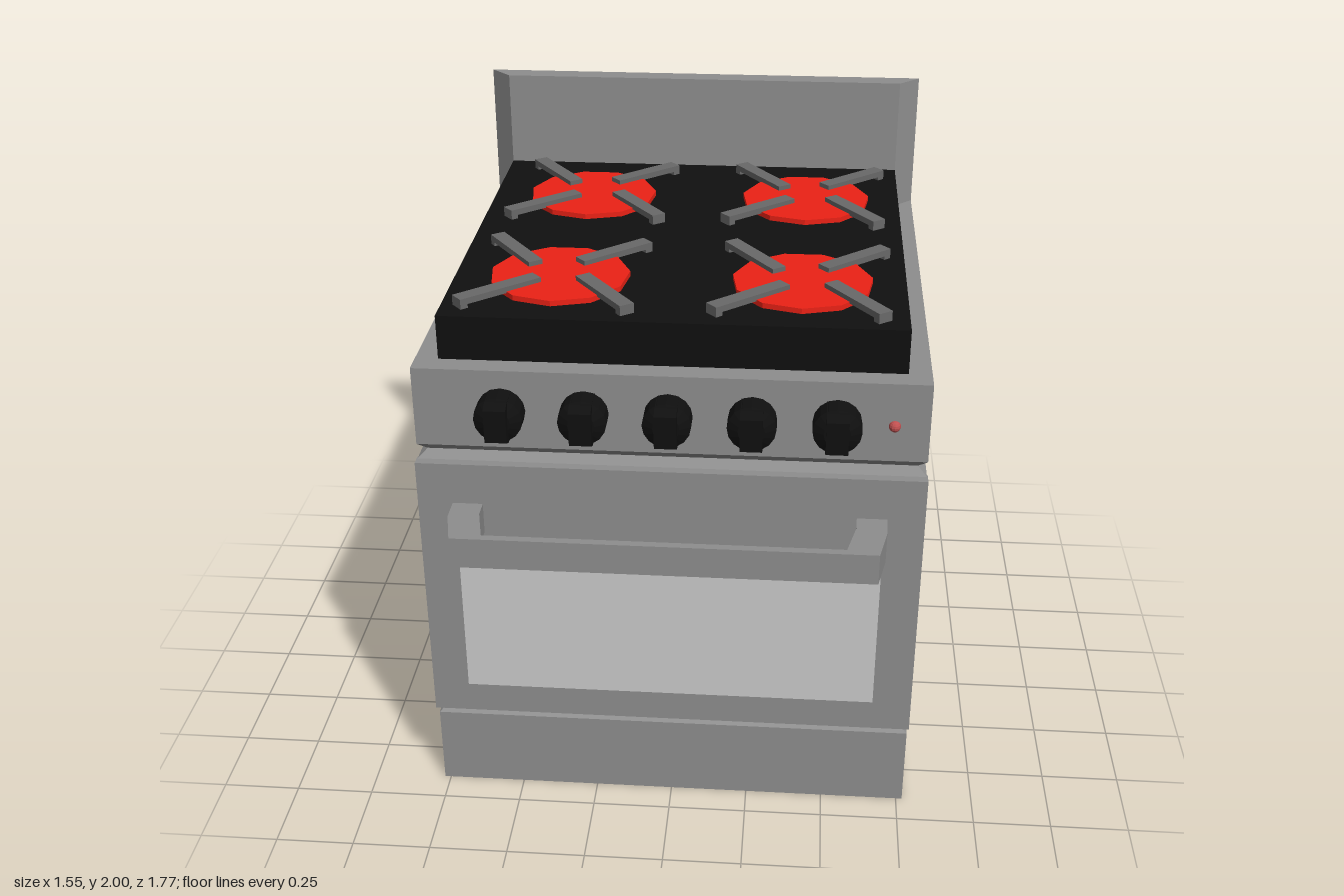
import * as THREE from 'three';

const paint = (color) => new THREE.MeshStandardMaterial({ color, flatShading: true });

export function createModel() {
  const root = new THREE.Group();
  const steel = paint(0x8e8e8e), black = paint(0x101010), red = paint(0xec2216);
  const iron = paint(0x696969), glass = paint(0xcccccc), lamp = paint(0xc05050);

  const add = (name, geometry, material, parent = root) => {
    const mesh = new THREE.Mesh(geometry, material);
    mesh.name = name;
    parent.add(mesh);
    return mesh;
  };
  // Box given by its min and max on each axis
  const box = (x0, x1, y0, y1, z0, z1) =>
    new THREE.BoxGeometry(x1 - x0, y1 - y0, z1 - z0)
      .translate((x0 + x1) / 2, (y0 + y1) / 2, (z0 + z1) / 2);
  // Outline in x and z, raised from y0 to y1
  const slab = (points, y0, y1) => {
    const shape = new THREE.Shape(points.map(([x, z]) => new THREE.Vector2(x, -z)));
    return new THREE.ExtrudeGeometry(shape, { depth: y1 - y0, bevelEnabled: false })
      .rotateX(-Math.PI / 2).translate(0, y0, 0);
  };

  // Cabinet: stacked square sections with two V-shaped grooves
  const body = new THREE.Group();
  body.name = 'cabinet';
  root.add(body);
  const full = 0.77, neck = 0.743;
  const levels = [
    [0, full], [0.272, full], [0.293, neck], [0.313, full],
    [1.235, full], [1.258, neck], [1.285, full], [1.54, full],
  ];
  const names = ['plinth', 'lowerGroove', 'lowerGroove', 'ovenBody', 'upperGroove', 'upperGroove', 'controlBand'];
  names.forEach((name, i) => {
    const [y0, r0] = levels[i], [y1, r1] = levels[i + 1];
    const g = new THREE.CylinderGeometry(r1 * Math.SQRT2, r0 * Math.SQRT2, y1 - y0, 4)
      .rotateY(Math.PI / 4).translate(0, (y0 + y1) / 2, -0.12);
    add(name, g, steel, body);
  });

  // Oven door with window
  add('ovenDoor', box(-0.773, 0.773, 0.313, 1.235, 0.64, 0.68), steel);
  add('ovenWindow', box(-0.655, 0.65, 0.425, 0.93, 0.67, 0.693), glass);

  // Door handle: bent U-shaped bar
  add('doorHandle', slab([
    [-0.665, 0.67], [-0.665, 0.76], [-0.637, 0.885], [0.632, 0.885], [0.657, 0.76], [0.66, 0.67],
    [0.568, 0.67], [0.565, 0.74], [0.537, 0.86], [-0.545, 0.86], [-0.572, 0.74], [-0.572, 0.67],
  ], 1.0, 1.1), steel);

  // Back panel with slanted ends
  add('backPanel', slab([[-0.77, -0.89], [0.77, -0.89], [0.7, -0.82], [-0.7, -0.82]], 1.53, 2), steel);

  // Cooktop
  add('cooktop', box(-0.7, 0.7, 1.53, 1.68, -0.82, 0.58), black);

  // Burners, each with four pan supports: [outer x, z, inner x, z]
  const bars = [
    [-0.23, -0.3, -0.07, -0.075], [0.263, -0.277, 0.067, -0.1],
    [-0.263, 0.225, -0.05, 0.037], [0.25, 0.24, 0.09, 0.02],
  ];
  const burners = [
    // burner x, z, support centre x, z
    [-0.357, -0.46, -0.357, -0.46], [0.38, -0.46, 0.376, -0.46],
    [-0.371, 0.268, -0.385, 0.288], [0.38, 0.268, 0.376, 0.288],
  ];
  for (const [x, z, gx, gz] of burners) {
    add('burner', new THREE.CylinderGeometry(0.218, 0.218, 0.03, 11).translate(x, 1.682, z), red);
    for (const [ox, oz, ix, iz] of bars) {
      const length = Math.hypot(ox - ix, oz - iz);
      const support = new THREE.Group();
      support.name = 'panSupport';
      support.position.set(gx + ix, 0, gz + iz);
      support.rotation.y = Math.atan2(ox - ix, oz - iz);
      add('supportBar', box(-0.024, 0.024, 1.692, 1.712, 0, length), iron, support);
      add('supportFoot', box(-0.024, 0.024, 1.67, 1.7, length - 0.025, length), iron, support);
      root.add(support);
    }
  }

  // Control knobs: round base, tapered collar and upright grip
  const gripShape = new THREE.Shape([
    new THREE.Vector2(0, -0.066), new THREE.Vector2(0.08, -0.066), new THREE.Vector2(0.11, -0.052),
    new THREE.Vector2(0.11, 0.052), new THREE.Vector2(0.08, 0.066), new THREE.Vector2(0, 0.066),
  ]);
  const grip = new THREE.ExtrudeGeometry(gripShape, { depth: 0.066, bevelEnabled: false })
    .translate(0, 0, -0.033).rotateY(-Math.PI / 2);
  const base = new THREE.CylinderGeometry(0.073, 0.073, 0.07, 16).rotateX(Math.PI / 2).translate(0, 0, 0.03);
  const collar = new THREE.CylinderGeometry(0.04, 0.073, 0.02, 16).rotateX(Math.PI / 2).translate(0, 0, 0.075);
  for (let i = 0; i < 5; i++) {
    const knob = new THREE.Group();
    knob.name = 'knob';
    knob.position.set(-0.504 + i * 0.25, 1.41, 0.65);
    add('knobBase', base, black, knob);
    add('knobCollar', collar, black, knob);
    add('knobGrip', grip, black, knob);
    root.add(knob);
  }

  // Indicator lamp
  add('indicatorLamp', new THREE.SphereGeometry(0.018, 12, 8).translate(0.665, 1.402, 0.65), lamp);

  return root;
}
